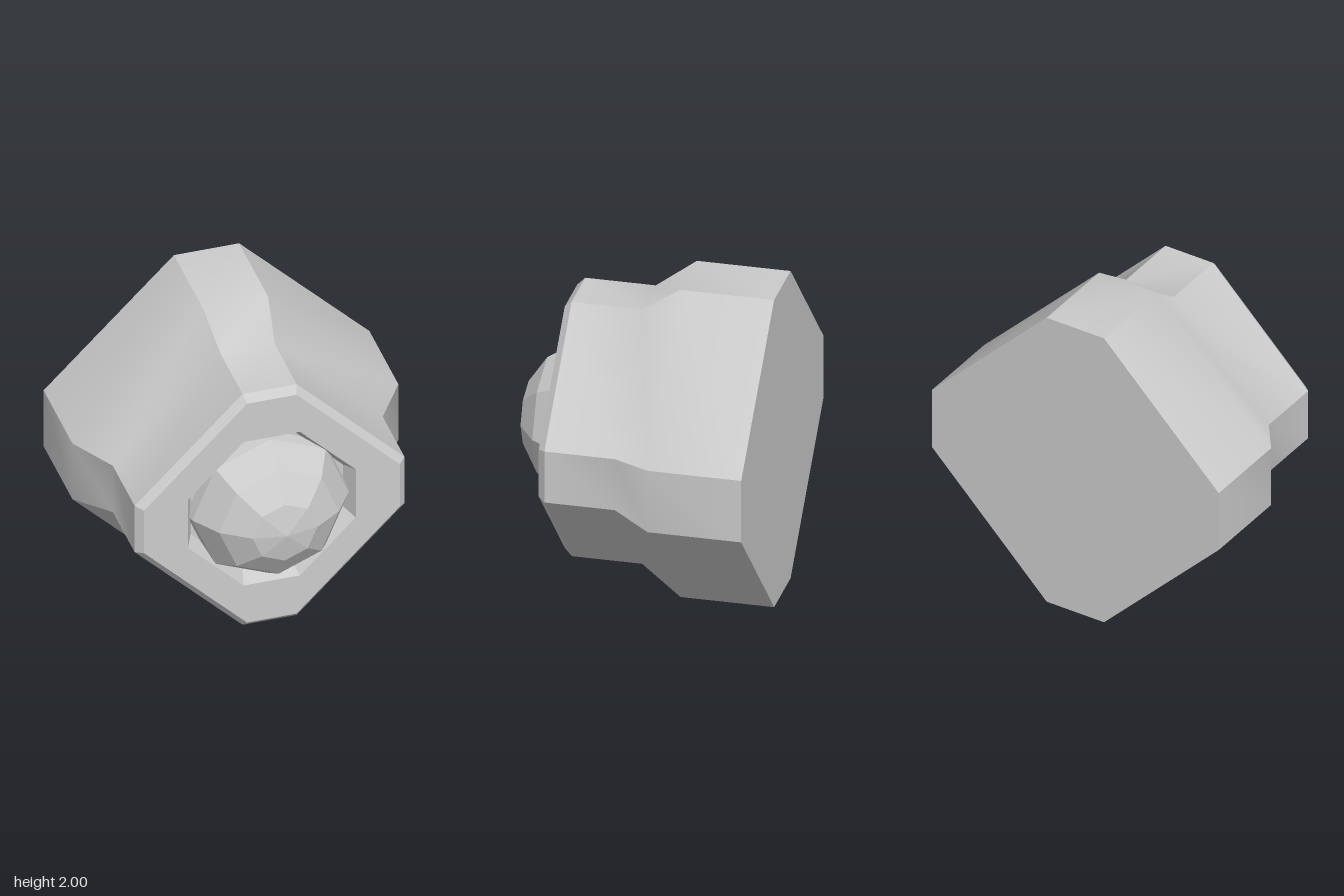
import * as THREE from 'three';

const material = new THREE.MeshStandardMaterial({ color: 0xcccccc });
const flatMaterial = new THREE.MeshStandardMaterial({ color: 0xcccccc, flatShading: true });

// Corners of a square standing on its tip with cut-off tips, anticlockwise from +z
const corners = (a, b) => [[b, -a], [b, a], [a, b], [-a, b], [-b, a], [-b, -a], [-a, -b], [a, -b]];

// Joins rings [half tip width, half height, z]: smooth along z, sharp between the eight sides
function loft(name, rings) {
  const positions = [], indices = [];
  for (let side = 0; side < 8; side++) {
    const start = positions.length / 3;
    rings.forEach(([a, b, z], i) => {
      const c = corners(a, b);
      positions.push(...c[side], z, ...c[(side + 1) % 8], z);
      if (i > 0) {
        const p = start + 2 * (i - 1);
        indices.push(p, p + 1, p + 3, p, p + 3, p + 2);
      }
    });
  }
  const geometry = new THREE.BufferGeometry();
  geometry.setAttribute('position', new THREE.Float32BufferAttribute(positions, 3));
  geometry.setIndex(indices);
  geometry.computeVertexNormals();
  const mesh = new THREE.Mesh(geometry, material);
  mesh.name = name;
  return mesh;
}

export function createModel() {
  const model = new THREE.Group();
  model.name = 'domedHousing';

  // Key rings of the housing, from back to front and into the recess
  const back = [0.2, 1, -0.785];
  const shoulder = [0.2, 1, -0.22];
  const neck = [0.166, 0.828, 0.02];
  const bevel = [0.166, 0.828, 0.445];
  const rim = [0.152, 0.785, 0.49];
  const opening = [0.172, 0.515, 0.49];
  const floor = [0.15, 0.468, 0.39];

  model.add(
    loft('backPlate', [[0, 0, -0.785], back]),
    loft('housing', [back, shoulder, neck, bevel]),
    loft('frontBevel', [bevel, rim]),
    loft('frontFace', [rim, opening]),
    loft('recessWall', [opening, floor]),
    loft('recessFloor', [floor, [0, 0, 0.39]])
  );

  // Faceted dome bulging out of the recess
  const domeGeometry = new THREE.SphereGeometry(0.52, 8, 4, 0, Math.PI * 2, 0, Math.PI / 2);
  domeGeometry.rotateX(Math.PI / 2);
  const dome = new THREE.Mesh(domeGeometry, flatMaterial);
  dome.name = 'dome';
  dome.position.z = 0.265;
  model.add(dome);

  // Stand the housing on the ground
  for (const part of model.children) part.position.y = 1;
  return model;
}
